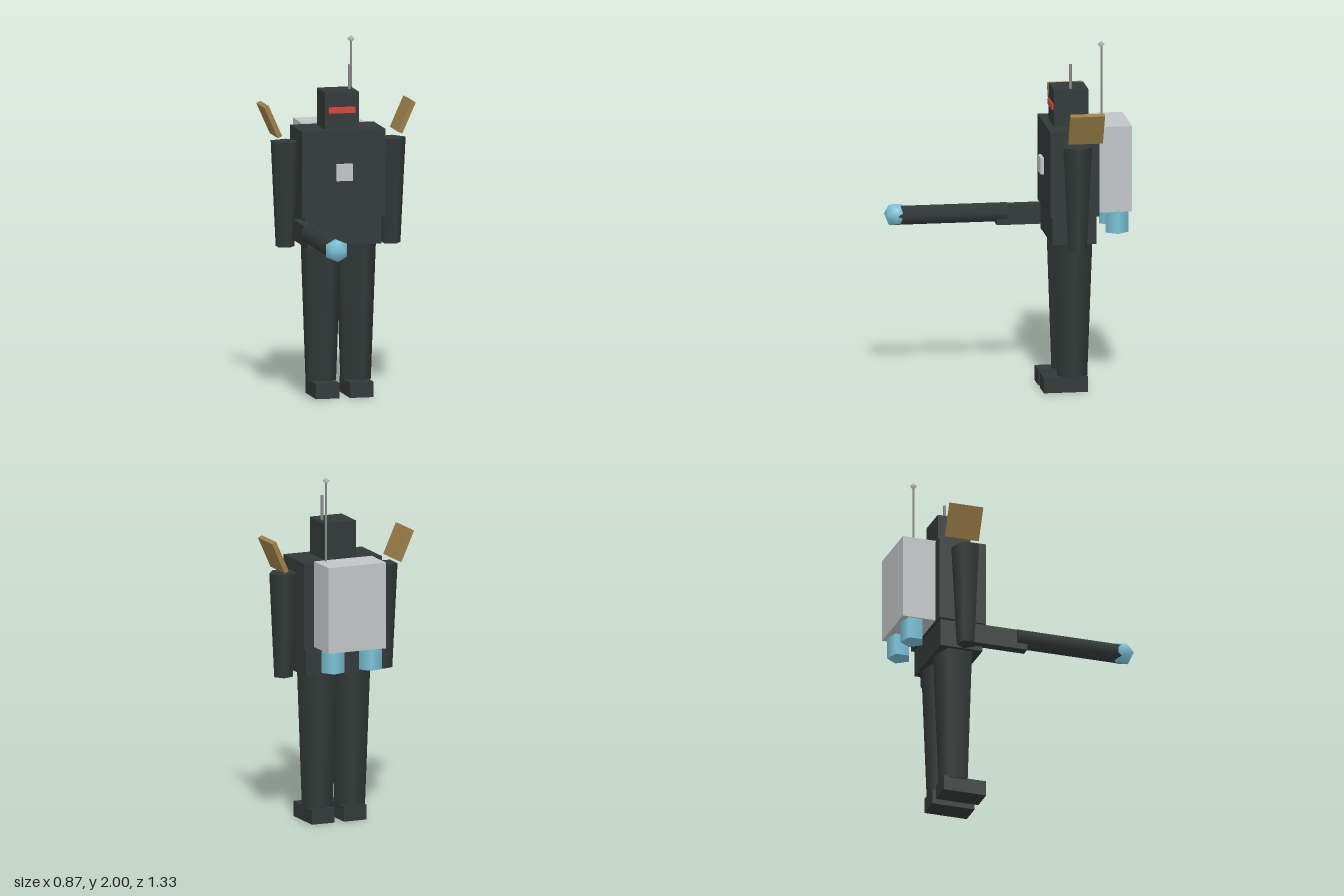
import * as THREE from 'three';
import { mergeVertices } from 'three/addons/utils/BufferGeometryUtils.js';

export function createModel() {
  const model = new THREE.Group();
  model.name = 'robot';

  const material = (name, color) => {
    const m = new THREE.MeshStandardMaterial({ color });
    m.name = name;
    return m;
  };
  const body = material('dark armour', 0x323938);
  const silver = material('silver', 0xc2c5c7);
  const steel = material('steel', 0x8e9091);
  const tan = material('tan', 0x9c7f49);
  const cyan = material('cyan', 0x7cc4da);
  const red = material('red', 0xd2463a);

  const add = (name, geometry, mat, x, y, z) => {
    const mesh = new THREE.Mesh(geometry, mat);
    mesh.name = name;
    mesh.position.set(x, y, z);
    model.add(mesh);
    return mesh;
  };
  const box = (name, mat, w, h, d, x, y, z) =>
    add(name, new THREE.BoxGeometry(w, h, d), mat, x, y, z);
  // Five-sided column with one corner towards +x, standing between y0 and y1
  const column = (name, mat, rTop, rBottom, y0, y1, x, z) =>
    add(name, new THREE.CylinderGeometry(rTop, rBottom, y1 - y0, 5, 1, false, Math.PI / 2),
      mat, x, (y0 + y1) / 2, z);

  const zMid = -0.333;

  // Trunk and head
  box('torso', body, 0.48, 0.49, 0.276, 0, 1.265, zMid);
  box('pelvis', body, 0.44, 0.17, 0.25, 0, 0.945, zMid);
  box('head', body, 0.194, 0.21, 0.194, 0, 1.615, zMid);
  box('visor', red, 0.152, 0.035, 0.009, 0, 1.619, -0.232);
  box('chestPlate', silver, 0.092, 0.095, 0.019, 0, 1.275, -0.177);

  // Limbs, feet, shoulder plates and thrusters on both sides
  for (const [side, s] of [['left', 1], ['right', -1]]) {
    column(side + 'Leg', body, 0.122, 0.09, 0.08, 0.93, s * 0.1, zMid);
    box(side + 'Foot', body, 0.136, 0.087, 0.25, s * 0.098, 0.0435, -0.293);
    column(side + 'Arm', body, 0.085, 0.055, 0.845, 1.44, s * 0.305, zMid);
    const plate = box(side + 'ShoulderPlate', tan, 0.027, 0.19, 0.193, s * 0.384, 1.558, -0.375);
    plate.rotation.z = -s * 0.42;
    column(side + 'Thruster', cyan, 0.068, 0.068, 0.903, 1.037, s * 0.115, -0.585);
  }

  // Backpack and antennas
  box('backpack', silver, 0.354, 0.49, 0.195, 0, 1.273, -0.567);
  column('tallAntenna', steel, 0.006, 0.006, 1.5, 1.975, 0.117, -0.5);
  add('antennaBall', new THREE.SphereGeometry(0.021, 5, 2), silver, 0.117, 1.979, -0.5);
  column('headAntenna', steel, 0.008, 0.008, 1.7, 1.86, 0.067, zMid);

  // Weapon held forward on the right side
  box('weaponStock', body, 0.057, 0.115, 0.34, -0.237, 0.943, -0.13);
  const barrel = column('weaponBarrel', body, 0.057, 0.057, 0, 0.63, -0.237, 0.295);
  barrel.position.y = 0.96;
  barrel.rotation.x = Math.PI / 2;

  // Smooth-shaded icosahedral tip
  let tip = new THREE.IcosahedronGeometry(0.07, 0);
  tip.deleteAttribute('normal');
  tip.deleteAttribute('uv');
  tip = mergeVertices(tip);
  tip.computeVertexNormals();
  add('weaponTip', tip, cyan, -0.237, 0.961, 0.608).rotation.z = Math.PI / 2;

  return model;
}
